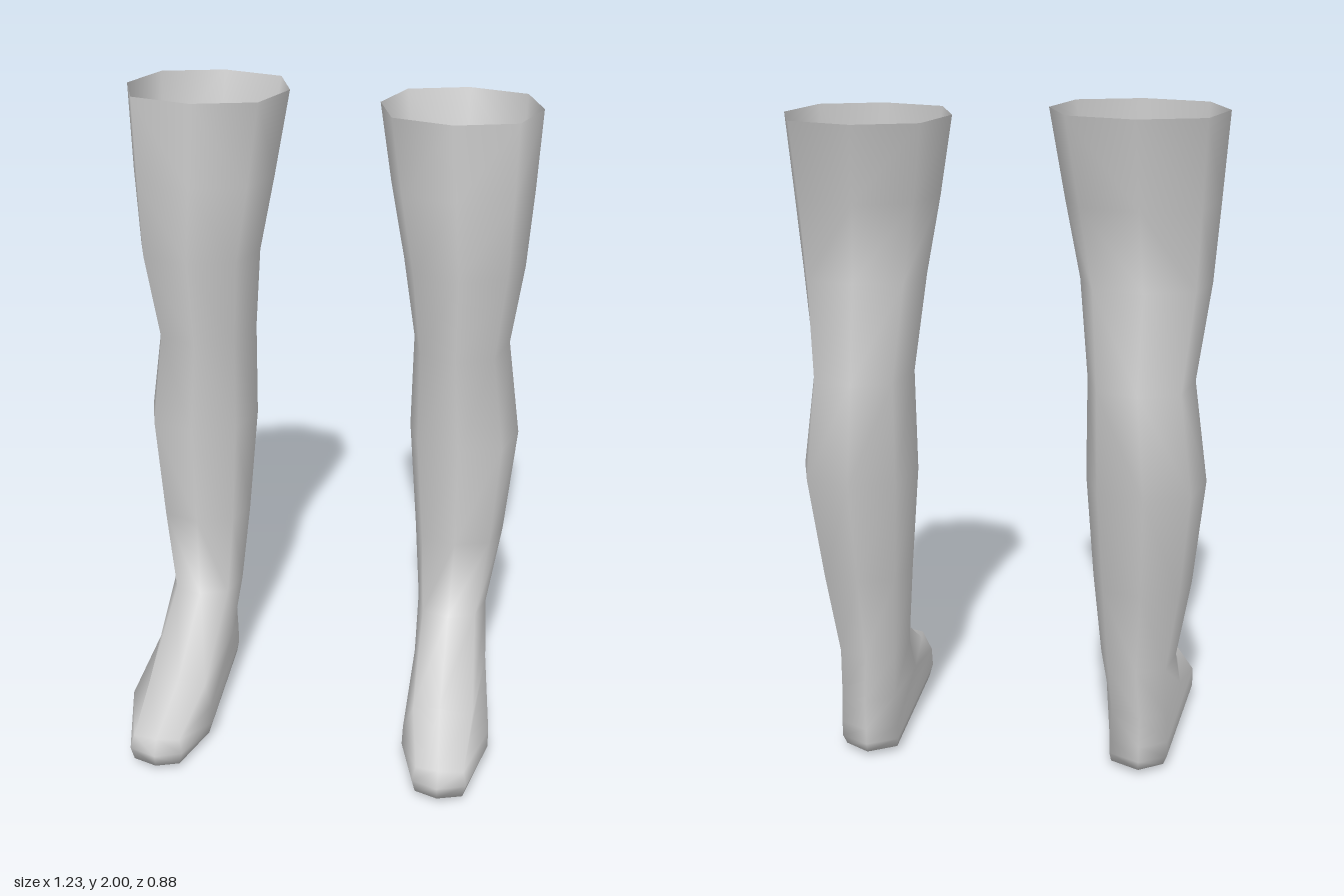
import * as THREE from 'three';

const SIDES = 8;

// Horizontal eight-sided ring, starting at the back and going round by the outer side
function ring([y, inner, outer, front, back]) {
  const cx = (inner + outer) / 2, rx = (outer - inner) / 2;
  const cz = (front + back) / 2, rz = (front - back) / 2;
  const d = 0.76;
  const unit = [[0, -1], [d, -d], [1, 0], [d, d], [0, 1], [-d, d], [-1, 0], [-d, -d]];
  return unit.map(([u, v]) => [cx + u * rx, y, cz + v * rz]);
}

// Foot rings in the same order: back, back outer, outer, front outer, front, front inner, inner, back inner
const footRings = [
  [[0.42, 0.2, -0.3], [0.5, 0.2, -0.255], [0.535, 0.21, -0.07], [0.52, 0.165, 0.19],
    [0.42, 0.19, 0.21], [0.335, 0.175, 0.2], [0.305, 0.21, -0.07], [0.335, 0.2, -0.255]],
  [[0.42, 0.1, -0.295], [0.505, 0.1, -0.25], [0.572, 0.12, 0.2], [0.515, 0.1, 0.395],
    [0.44, 0.105, 0.41], [0.37, 0.1, 0.395], [0.308, 0.12, 0.23], [0.33, 0.1, -0.25]],
  [[0.42, 0.05, -0.295], [0.505, 0.05, -0.25], [0.572, 0.06, 0.2], [0.525, 0.06, 0.41],
    [0.44, 0.06, 0.44], [0.36, 0.06, 0.41], [0.306, 0.06, 0.235], [0.33, 0.05, -0.25]],
  [[0.42, 0.018, -0.285], [0.495, 0.018, -0.24], [0.55, 0.016, 0.2], [0.515, 0.018, 0.405],
    [0.44, 0.018, 0.43], [0.37, 0.018, 0.405], [0.318, 0.016, 0.23], [0.335, 0.018, -0.24]],
];

// One leg skin: open thigh, knee, calf and ankle rings, then the foot and a closed sole
function makeLeg(name, side, top, thigh, innerShift) {
  const legRings = [
    top,
    thigh,
    [1.52, 0.225 - innerShift, 0.585, 0.0, -0.345],
    [1.25, 0.255 - innerShift, 0.548, -0.04, -0.43],
    [0.95, 0.25 - innerShift / 2, 0.59, -0.05, -0.42],
    [0.62, 0.28 - innerShift, 0.56, -0.065, -0.34],
    [0.36, 0.3 - innerShift / 2, 0.52, -0.045, -0.31],
  ].map(ring);
  const rings = [...legRings, ...footRings];

  const points = [...rings.flat(), [0.43, 0, 0.08]];
  const positions = points.flatMap(([x, y, z]) => [side * x, y, z]);
  const index = [];
  const face = (a, b, c) => index.push(...(side > 0 ? [a, b, c] : [a, c, b]));
  for (let r = 0; r < rings.length; r++) {
    for (let k = 0; k < SIDES; k++) {
      const a = r * SIDES + k, b = r * SIDES + (k + 1) % SIDES;
      if (r === rings.length - 1) {
        face(a, b, points.length - 1);
      } else {
        face(a, b, b + SIDES);
        face(a, b + SIDES, a + SIDES);
      }
    }
  }

  const geometry = new THREE.BufferGeometry();
  geometry.setAttribute('position', new THREE.Float32BufferAttribute(positions, 3));
  geometry.setIndex(index);
  geometry.computeVertexNormals();
  const material = new THREE.MeshStandardMaterial({ color: 0xcccccc, side: THREE.DoubleSide });
  const mesh = new THREE.Mesh(geometry, material);
  mesh.name = name;
  return mesh;
}

export function createModel() {
  const group = new THREE.Group();
  group.name = 'legs';
  // The two thighs are cut at slightly different heights
  group.add(
    makeLeg('leftLeg', 1, [1.975, 0.14, 0.61, 0.012, -0.44], [1.75, 0.18, 0.6, 0.007, -0.375], 0),
    makeLeg('rightLeg', -1, [2, 0.125, 0.615, 0.007, -0.425], [1.75, 0.168, 0.6, 0.004, -0.37], 0.012),
  );
  return group;
}
